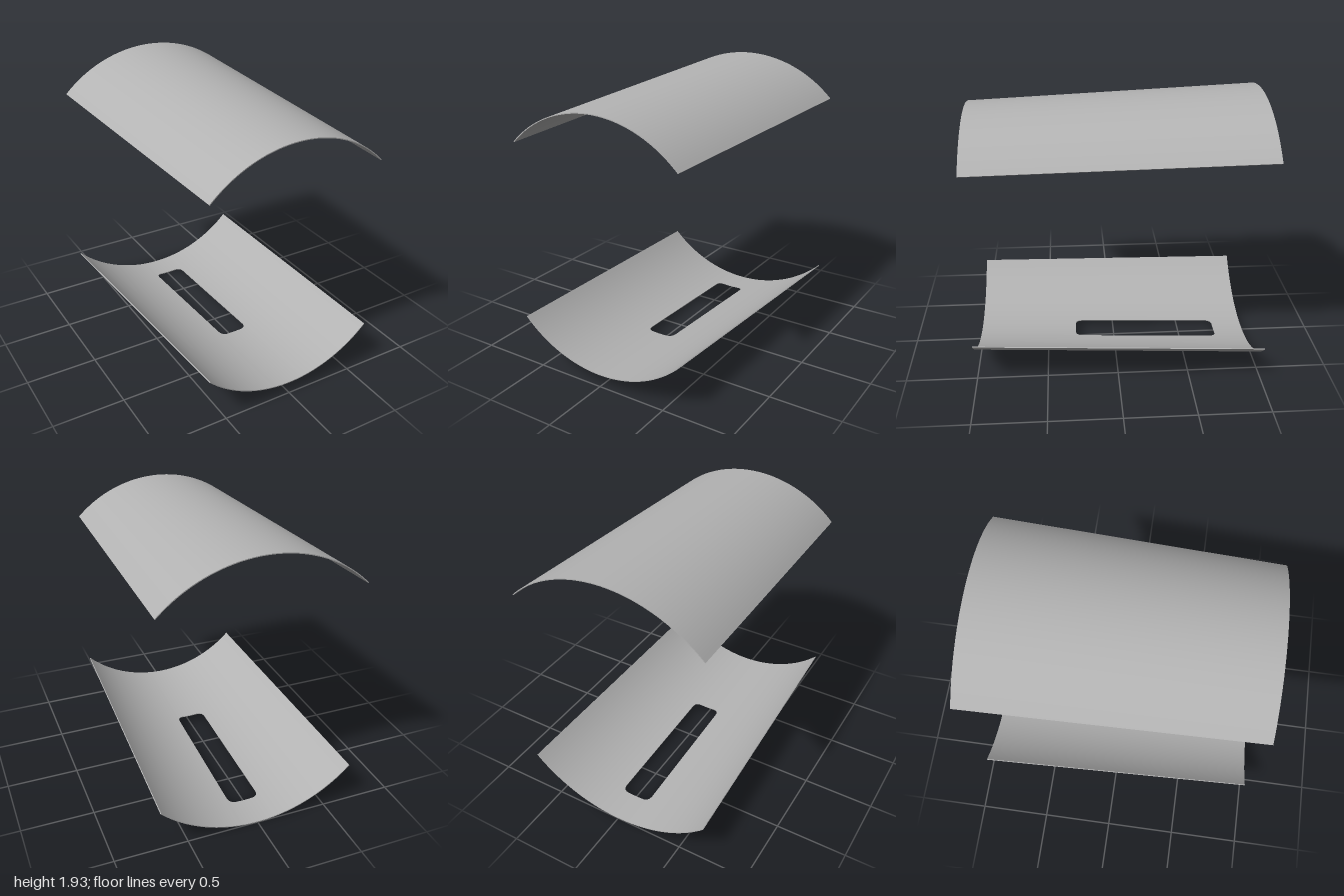
import * as THREE from 'three';

const CENTRE_Y = 0.967, BACK_R = 0.967, FRONT_R = 0.88, THICK = 0.006;
const HALF = Math.PI / 4;                      // each shell spans 90 degrees
const SLOT = { half: 0.116, back: -0.775, front: 0.29, corner: 0.045 };

// Point on the tapered tube, angle a measured from the crown
function point(a, z, inner) {
  const r = THREE.MathUtils.mapLinear(z, -1, 1, BACK_R, FRONT_R) - (inner ? THICK : 0);
  return [r * Math.sin(a), r * Math.cos(a), z];
}

// Curved plate between two angles; its back and front edges may vary with angle
function plate(name, material, a0, a1, back, front, segments) {
  const pos = [], index = [];
  const section = (a) => [
    point(a, back(a), false), point(a, front(a), false),
    point(a, front(a), true), point(a, back(a), true),
  ];
  for (let side = 0; side < 4; side++) {
    const base = pos.length / 3;
    for (let i = 0; i <= segments; i++) {
      const s = section(a0 + (a1 - a0) * i / segments);
      pos.push(...s[side], ...s[(side + 1) % 4]);
      if (i === segments) continue;
      const p = base + i * 2;
      index.push(p, p + 1, p + 2, p + 1, p + 3, p + 2);
    }
  }
  // end caps
  for (const [a, flip] of [[a0, true], [a1, false]]) {
    const b = pos.length / 3;
    pos.push(...section(a).flat());
    index.push(...(flip ? [b, b + 2, b + 1, b, b + 3, b + 2] : [b, b + 1, b + 2, b, b + 2, b + 3]));
  }
  const geometry = new THREE.BufferGeometry();
  geometry.setAttribute('position', new THREE.Float32BufferAttribute(pos, 3));
  geometry.setIndex(index);
  geometry.computeVertexNormals();
  const mesh = new THREE.Mesh(geometry, material);
  mesh.name = name;
  return mesh;
}

// How far the slot's end pulls in at its rounded corners
function cornerInset(a) {
  const c = SLOT.corner;
  const d = Math.max(0, Math.abs(a) * 0.93 - (SLOT.half * 0.93 - c));
  return c - Math.sqrt(Math.max(0, c * c - d * d));
}

export function createModel() {
  const model = new THREE.Group();
  model.name = 'splitTaperedSleeve';
  const grey = new THREE.MeshStandardMaterial({ color: 0xb3b3b3 });
  grey.name = 'grey';
  const backEnd = () => -1, frontEnd = () => 1;

  // Upper shell
  const upper = plate('upperShell', grey, -HALF, HALF, backEnd, frontEnd, 48);
  upper.position.y = CENTRE_Y;
  model.add(upper);

  // Lower shell, made of four plates around a rounded slot
  const lower = new THREE.Group();
  lower.name = 'lowerShell';
  lower.add(
    plate('lowerSideLeft', grey, -HALF, -SLOT.half, backEnd, frontEnd, 20),
    plate('lowerSideRight', grey, SLOT.half, HALF, backEnd, frontEnd, 20),
    plate('lowerBehindSlot', grey, -SLOT.half, SLOT.half, backEnd, (a) => SLOT.back + cornerInset(a), 32),
    plate('lowerBeforeSlot', grey, -SLOT.half, SLOT.half, (a) => SLOT.front - cornerInset(a), frontEnd, 32),
  );
  lower.rotation.z = Math.PI;
  lower.position.y = CENTRE_Y;
  model.add(lower);

  return model;
}
